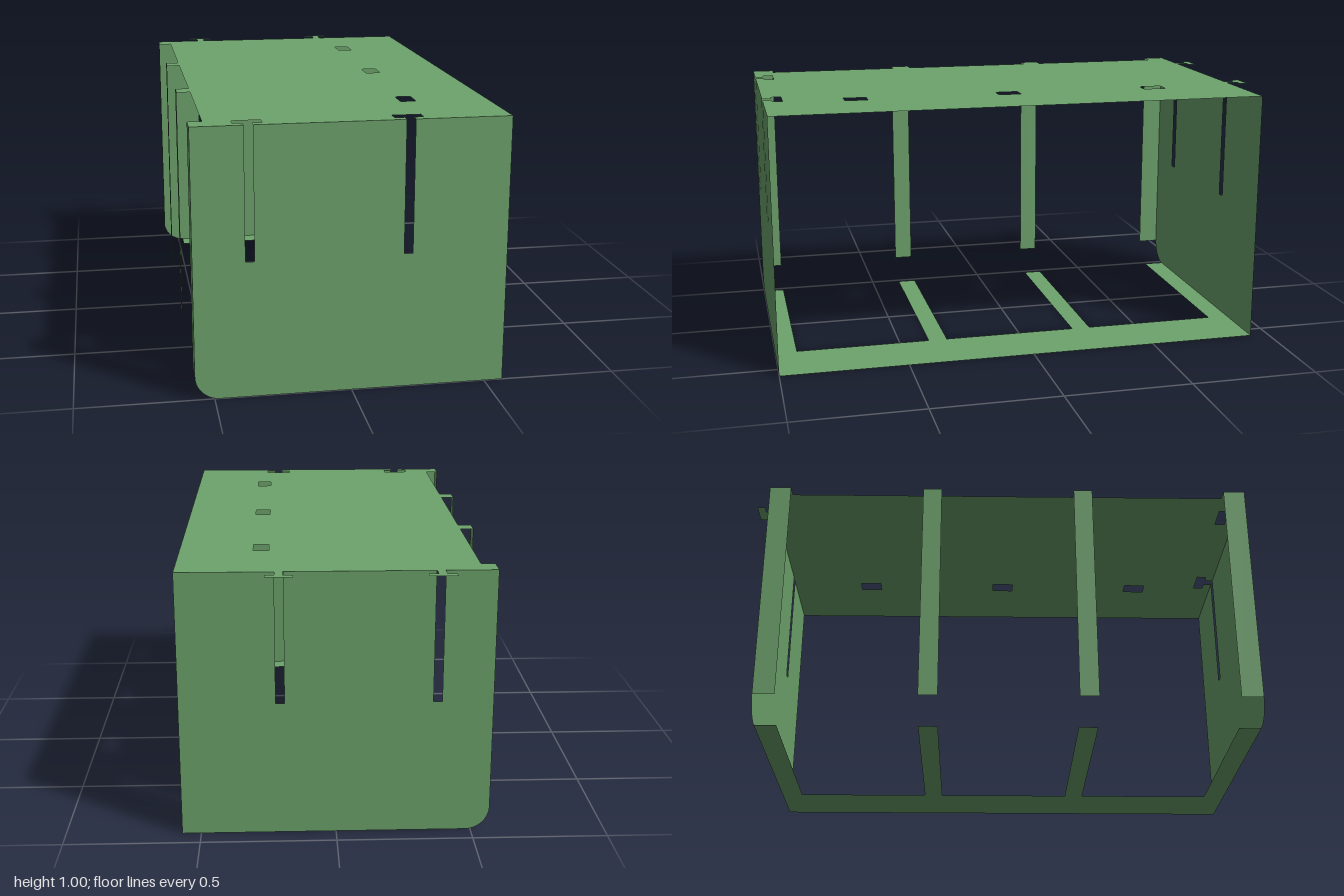
import * as THREE from 'three';

const W = 0.57, TOP = 1, FRONT = 1, BACK = -0.925, R = 0.09;
const slotXs = [-0.367, 0.203];              // slot and T centres
const bands = [[0.915, 1], [0.305, 0.38], [-0.305, -0.23], [BACK, -0.84]]; // side straps, front to back

function polygon(points) {
  return new THREE.Shape(points.map(([x, y]) => new THREE.Vector2(x, y)));
}

export function createModel() {
  const group = new THREE.Group();
  const green = new THREE.MeshStandardMaterial({ color: 0x6ea46d, side: THREE.DoubleSide });
  green.name = 'sheet green';

  const add = (name, geometry) => {
    const mesh = new THREE.Mesh(geometry, green);
    mesh.name = name;
    group.add(mesh);
    return mesh;
  };
  // Flat sheet drawn in (x, z), laid at height y, facing up
  const addFlat = (name, points, y, holes = []) => {
    const flip = list => list.map(([x, z]) => [x, -z]);
    const shape = polygon(flip(points));
    holes.forEach(h => shape.holes.push(polygon(flip(h))));
    add(name, new THREE.ShapeGeometry(shape).rotateX(-Math.PI / 2).translate(0, y, 0));
  };

  // End walls: slotted from the top, one rounded lower corner
  const wall = new THREE.Shape();
  wall.moveTo(W, 0);
  wall.lineTo(W, TOP);
  for (const x of [...slotXs].reverse()) {
    wall.lineTo(x + 0.016, TOP);
    wall.lineTo(x + 0.016, 0.51);
    wall.lineTo(x - 0.016, 0.51);
    wall.lineTo(x - 0.016, TOP);
  }
  wall.lineTo(-W, TOP);
  wall.lineTo(-W, R);
  wall.absarc(-W + R, R, R, Math.PI, Math.PI * 1.5, false);
  wall.lineTo(W, 0);
  add('frontWall', new THREE.ShapeGeometry(wall, 16).translate(0, 0, FRONT));
  const backGeometry = new THREE.ShapeGeometry(wall, 16);
  add('backWall', backGeometry.scale(-1, 1, 1).rotateY(Math.PI).translate(0, 0, BACK));

  // Top sheet: T cut-outs at the front, T tabs at the back, notched side
  const inner = -0.518;
  const top = [[-W, FRONT]];
  for (const x of slotXs) {
    top.push([x - 0.016, FRONT], [x - 0.016, 0.965], [x - 0.052, 0.965], [x - 0.052, 0.925],
      [x + 0.052, 0.925], [x + 0.052, 0.965], [x + 0.016, 0.965], [x + 0.016, FRONT]);
  }
  top.push([W, FRONT], [W, BACK]);
  for (const x of [...slotXs].reverse()) {
    top.push([x + 0.015, BACK], [x + 0.015, -0.968], [x + 0.05, -0.968], [x + 0.05, -1],
      [x - 0.05, -1], [x - 0.05, -0.968], [x - 0.015, -0.968], [x - 0.015, BACK]);
  }
  top.push([-W, BACK]);
  [...bands].reverse().forEach(([z0, z1], i) => {
    if (i > 0) top.push([inner, z0], [-W, z0]);
    if (i < bands.length - 1) top.push([-W, z1], [inner, z1]);
  });
  const windows = [-0.575, 0.034, 0.645].map(z =>
    [[0.238, z - 0.045], [0.297, z - 0.045], [0.297, z + 0.045], [0.238, z + 0.045]]);
  addFlat('topSheet', top, TOP, windows);

  // Floor: a long rail with four fingers reaching across
  const floor = [[W, BACK], [W, FRONT]];
  for (const [z0, z1] of bands) floor.push([0.322, z1], [-W + R, z1], [-W + R, z0], [0.322, z0]);
  addFlat('floorComb', floor, 0);

  // Vertical straps hanging from the side tabs
  bands.forEach(([z0, z1], i) => {
    add(`sideStrap${i + 1}`, new THREE.PlaneGeometry(z1 - z0, TOP - R)
      .rotateY(-Math.PI / 2).translate(-W, (TOP + R) / 2, (z0 + z1) / 2));
  });

  return group;
}
